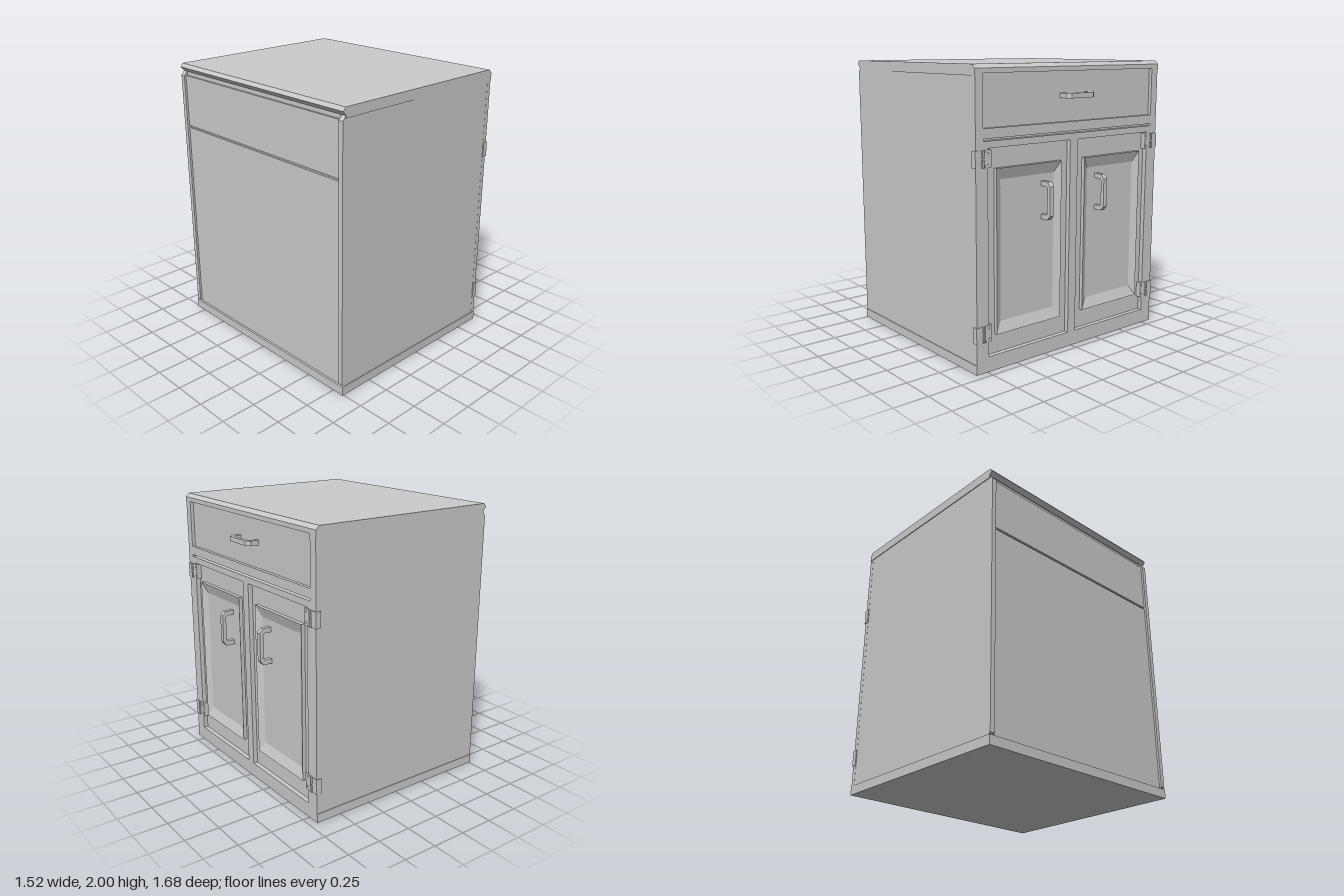
import * as THREE from 'three';

const mat = new THREE.MeshStandardMaterial({ color: 0xcccccc, flatShading: true });
const FACE = 0.695, RECESS = 0.662, BACK = -0.76;

function add(parent, name, geometry) {
  const mesh = new THREE.Mesh(geometry, mat);
  mesh.name = name;
  parent.add(mesh);
  return mesh;
}

// Box given by its limits on each axis
function box(parent, name, x0, x1, y0, y1, z0, z1) {
  const mesh = add(parent, name, new THREE.BoxGeometry(x1 - x0, y1 - y0, z1 - z0));
  mesh.position.set((x0 + x1) / 2, (y0 + y1) / 2, (z0 + z1) / 2);
  return mesh;
}

// Side-on (x, y) profile extruded from z0 to z1
function slab(points, z0, z1) {
  const shape = new THREE.Shape(points.map(p => new THREE.Vector2(...p)));
  return new THREE.ExtrudeGeometry(shape, { depth: z1 - z0, bevelEnabled: false }).translate(0, 0, z0);
}

function rect(path, a0, a1, b0, b1) {
  path.moveTo(a0, b0);
  path.lineTo(a1, b0);
  path.lineTo(a1, b1);
  path.lineTo(a0, b1);
  path.closePath();
  return path;
}

// Raised rim whose face slopes inward to a sunken field
function panelGeometry(halfW, halfH) {
  const rings = [[halfW, halfH, RECESS], [halfW, halfH, FACE - 0.005], [halfW - 0.05, halfH - 0.077, RECESS + 0.002]]
    .map(([w, h, x]) => [[x, -h, w], [x, -h, -w], [x, h, -w], [x, h, w]]);
  const pos = [];
  const quad = (a, b, c, d) => pos.push(...a, ...b, ...c, ...a, ...c, ...d);
  for (let r = 0; r < 2; r++) {
    for (let i = 0; i < 4; i++) {
      const j = (i + 1) % 4;
      quad(rings[r][i], rings[r][j], rings[r + 1][j], rings[r + 1][i]);
    }
  }
  quad(...rings[2]);
  const g = new THREE.BufferGeometry();
  g.setAttribute('position', new THREE.Float32BufferAttribute(pos, 3));
  g.computeVertexNormals();
  return g;
}

// Bracket pull with chamfered corners, upright and centred on its length
function handleGeometry() {
  return slab([
    [RECESS, -0.13], [0.73, -0.13], [0.755, -0.1], [0.755, 0.1], [0.73, 0.13], [RECESS, 0.13],
    [RECESS, 0.097], [0.717, 0.097], [0.728, 0.085], [0.728, -0.085], [0.717, -0.097], [RECESS, -0.097],
  ], -0.017, 0.017);
}

// Two leaves, a knuckled pin and screw heads
function hinge(s, y) {
  const g = new THREE.Group();
  g.name = 'hinge';
  const leaf = (name, za, zb, half) =>
    box(g, name, RECESS, FACE + 0.005, y - half, y + half, Math.min(za * s, zb * s), Math.max(za * s, zb * s));
  leaf('doorLeaf', 0.717, 0.765, 0.057);
  leaf('leafBridge', 0.765, 0.785, 0.04);
  leaf('frameLeaf', 0.785, 0.842, 0.055);
  for (const dy of [-0.03, 0.03]) {
    const knuckle = add(g, 'knuckle', new THREE.CylinderGeometry(0.011, 0.011, 0.05, 8));
    knuckle.position.set(FACE + 0.004, y + dy, s * 0.782);
    const screw = add(g, 'screw', new THREE.CylinderGeometry(0.008, 0.008, 0.006, 8));
    screw.rotation.z = Math.PI / 2;
    screw.position.set(FACE + 0.005, y + dy * 1.2, s * 0.735);
  }
  return g;
}

export function createModel() {
  const model = new THREE.Group();
  model.name = 'cabinet';

  // Carcass: core, base plinth, worktop and side walls
  box(model, 'core', -0.73, RECESS, 0.03, 1.96, -0.81, 0.81);
  box(model, 'base', BACK, FACE, 0, 0.065, -0.84, 0.84);
  add(model, 'worktop', slab([
    [-0.735, 1.945], [FACE, 1.945], [FACE, 1.975], [0.67, 2], [-0.742, 2], [BACK, 1.975],
  ], -0.84, 0.84));
  for (const s of [-1, 1]) {
    const z0 = s > 0 ? 0.8 : -0.835;
    add(model, 'sideWall', slab([
      [-0.745, 0.065], [RECESS, 0.065], [RECESS, 1.945], [-0.735, 1.945], [BACK, 1.915], [BACK, 0.08],
    ], z0, z0 + 0.035));
    // Slim lip under the worktop overhang
    box(model, 'worktopLip', -0.735, FACE, 1.93, 1.945, s > 0 ? 0.83 : -0.84, s > 0 ? 0.84 : -0.83);
  }

  // Sunken back, split by a narrow groove
  box(model, 'lowerBackPanel', -0.745, -0.72, 0.065, 1.525, -0.8, 0.8);
  box(model, 'upperBackPanel', -0.745, -0.72, 1.54, 1.915, -0.8, 0.8);

  // Face frame with openings for drawer, groove and doors
  const frame = rect(new THREE.Shape(), -0.836, 0.836, 0.065, 1.945);
  for (const hole of [
    [-0.775, 0.775, 1.605, 1.944], [-0.775, 0.775, 1.525, 1.54],
    [0.035, 0.74, 0.105, 1.48], [-0.74, -0.035, 0.105, 1.48],
  ]) frame.holes.push(rect(new THREE.Path(), ...hole));
  const frameMesh = add(model, 'faceFrame',
    new THREE.ExtrudeGeometry(frame, { depth: FACE - RECESS, bevelEnabled: false }));
  frameMesh.rotation.y = Math.PI / 2;
  frameMesh.position.x = RECESS;

  // Drawer front and pull
  box(model, 'drawerFront', 0.64, RECESS + 0.008, 1.605, 1.944, -0.775, 0.775);
  const pull = add(model, 'drawerHandle', handleGeometry());
  pull.rotation.x = Math.PI / 2;
  pull.position.set(0, 1.782, -0.018);

  // Mirrored doors
  for (const s of [-1, 1]) {
    const door = new THREE.Group();
    door.name = s > 0 ? 'leftDoor' : 'rightDoor';
    const panel = add(door, 'doorPanel', panelGeometry(0.28, 0.553));
    panel.position.set(0, 0.792, s * 0.388);
    const handle = add(door, 'doorHandle', handleGeometry());
    handle.position.set(0, 1.09, s * 0.253);
    for (const y of [0.267, 1.415]) door.add(hinge(s, y));
    model.add(door);
  }
  return model;
}
